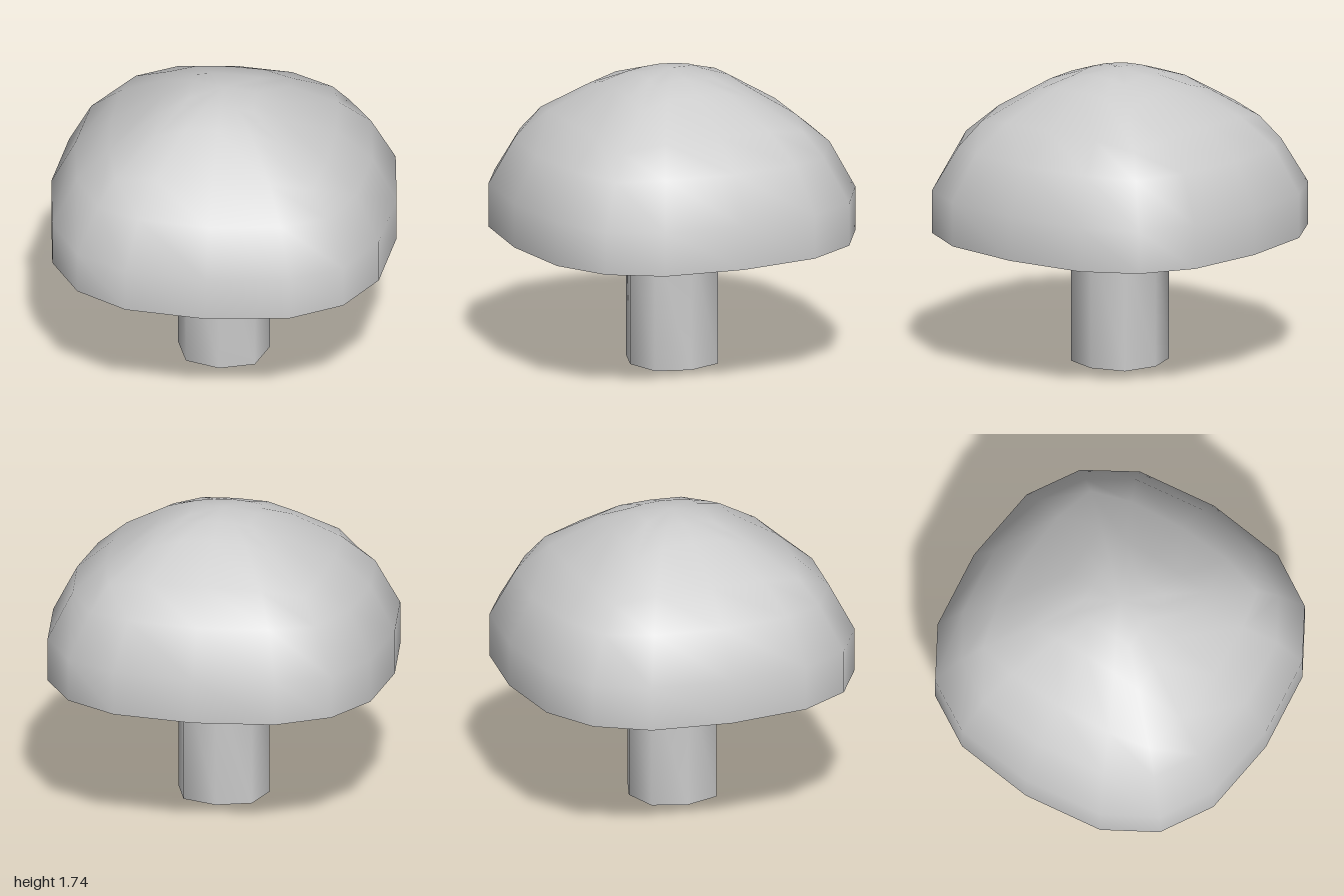
import * as THREE from 'three';

const material = () => new THREE.MeshStandardMaterial({ color: 0xcccccc });

// Indexed geometry from rings (arrays of Vector3) running bottom to top, smooth normals
function loft(rings, apex) {
  const n = rings[0].length;
  const pts = rings.flat();
  const index = [];
  for (let r = 0; r < rings.length - 1; r++) {
    for (let i = 0; i < n; i++) {
      const a = r * n + i, b = r * n + (i + 1) % n;
      index.push(a, b + n, b, a, a + n, b + n);
    }
  }
  if (apex) {
    const top = (rings.length - 1) * n;
    pts.push(apex);
    for (let i = 0; i < n; i++) index.push(top + i, pts.length - 1, top + (i + 1) % n);
  }
  const geometry = new THREE.BufferGeometry().setFromPoints(pts);
  geometry.setIndex(index);
  geometry.computeVertexNormals();
  return geometry;
}

// Flat downward-facing lid that closes a ring from below
function lid(ring) {
  const pts = [new THREE.Vector3(0, ring[0].y, 0), ...ring];
  const index = [];
  ring.forEach((p, i) => index.push(0, i + 1, (i + 1) % ring.length + 1));
  const geometry = new THREE.BufferGeometry().setFromPoints(pts);
  geometry.setIndex(index);
  geometry.computeVertexNormals();
  return geometry;
}

// Repeats a quarter of [x, y, z] points around the y axis
function fourfold(quarter) {
  const ring = [];
  const up = new THREE.Vector3(0, 1, 0);
  for (let q = 0; q < 4; q++) {
    for (const p of quarter) ring.push(new THREE.Vector3(...p).applyAxisAngle(up, -q * Math.PI / 2));
  }
  return ring;
}

// Sixteen-point rounded-square ring: axis radius, in-between point, corner, and their heights
function capRing([axis, midX, midZ, corner, yAxis, yMid, yCorner]) {
  return fourfold([
    [axis, yAxis, 0], [midX, yMid, midZ], [corner, yCorner, corner], [midZ, yMid, midX],
  ]);
}

// Eight-point rounded-square ring for the stem
const stemRing = (y) => fourfold([[0.265, y, 0], [0.2, y, 0.2]]);

export function createModel() {
  const group = new THREE.Group();
  const add = (name, geometry) => {
    const mesh = new THREE.Mesh(geometry, material());
    mesh.name = name;
    group.add(mesh);
  };

  // Domed cap, squarer and flatter toward the crown
  const capRings = [
    [1, 0.945, 0.473, 0.77, 0.78, 0.78, 0.78],
    [1, 0.945, 0.473, 0.77, 1.04, 1.04, 1.03],
    [0.86, 0.81, 0.41, 0.66, 1.31, 1.31, 1.29],
    [0.65, 0.63, 0.33, 0.57, 1.485, 1.475, 1.43],
    [0.36, 0.36, 0.19, 0.36, 1.658, 1.65, 1.6],
    [0.19, 0.188, 0.095, 0.19, 1.715, 1.71, 1.695],
  ].map(capRing);
  add('cap', loft(capRings, new THREE.Vector3(0, 1.74, 0)));
  add('capUnderside', lid(capRings[0]));

  // Straight stem
  const foot = stemRing(0);
  add('stem', loft([foot, stemRing(0.78)]));
  add('stemBase', lid(foot));

  return group;
}
